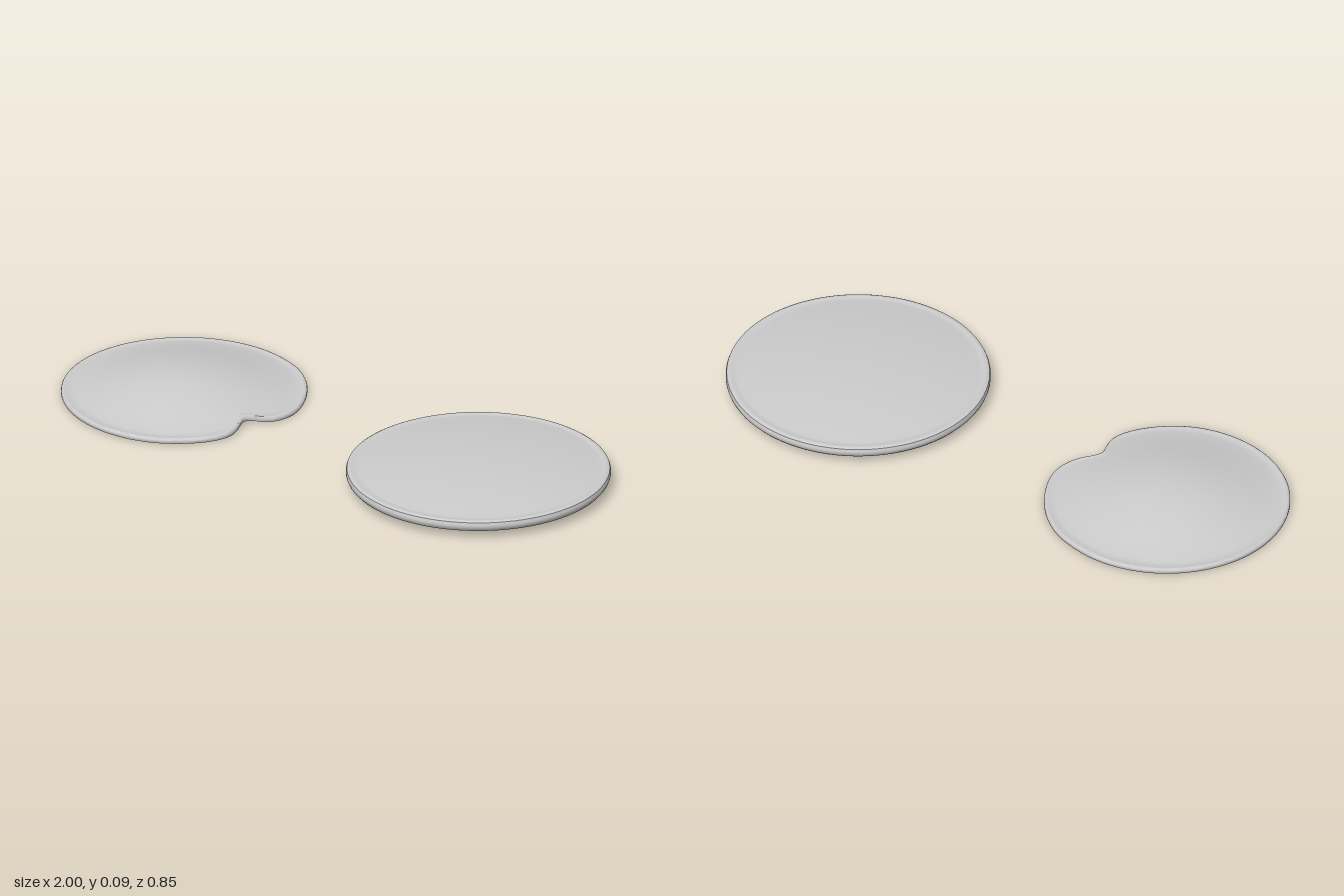
import * as THREE from 'three';
import { toCreasedNormals } from 'three/addons/utils/BufferGeometryUtils.js';

const material = () => new THREE.MeshStandardMaterial({ color: 0xcccccc });

// Round cap: gently domed thin top with a rounded rim, hollow underneath
function makeDisc() {
  const steps = 14;
  const dome = (r) => 0.088 - 0.027 * (r / 0.39) ** 2;
  const points = [];
  // Ceiling from the centre outwards
  for (let i = 0; i <= steps; i++) {
    const r = 0.39 * i / steps;
    points.push(new THREE.Vector2(r, dome(r) - 0.004));
  }
  // Inner wall, lower lip, outer wall and rim
  const rim = [[0.404, 0.055], [0.409, 0.045], [0.411, 0.027], [0.413, 0.025], [0.418, 0.027], [0.424, 0.034],
    [0.427, 0.042], [0.427, 0.05], [0.424, 0.058], [0.417, 0.062], [0.408, 0.062], [0.402, 0.06]];
  rim.forEach(([r, y]) => points.push(new THREE.Vector2(r, y)));
  // Domed top back to the centre
  for (let i = steps; i >= 0; i--) {
    const r = 0.39 * i / steps;
    points.push(new THREE.Vector2(r, dome(r)));
  }
  const mesh = new THREE.Mesh(toCreasedNormals(new THREE.LatheGeometry(points, 96), 0.6), material());
  mesh.name = 'domedDisc';
  mesh.position.x = 0.573;
  return mesh;
}

// Plan outline of the notched plate: a circle with a nick on one side
function notchedOutline(count) {
  const pts = [];
  for (let a = 80; a <= 290; a += 15) {
    const t = THREE.MathUtils.degToRad(a);
    pts.push([0.398 * Math.cos(t), 0.397 * Math.sin(t)]);
  }
  pts.push([0.21, -0.34], [0.29, -0.272], [0.35, -0.182], [0.38, -0.1], [0.383, -0.05], [0.37, 0],
    [0.348, 0.032], [0.315, 0.06], [0.3, 0.083], [0.306, 0.11], [0.316, 0.145], [0.318, 0.185],
    [0.301, 0.233], [0.25, 0.297], [0.16, 0.361]);
  const curve = new THREE.CatmullRomCurve3(pts.map(([x, z]) => new THREE.Vector3(x, 0, z)), true);
  return curve.getSpacedPoints(count).slice(0, count);
}

// Bell-shaped rise shared by the top and underside
const bell = (r) => 0.06 * Math.max(0, 1 - (r / 0.39) ** 2) ** 1.65;

// Thin shell with a turned-down lip, made from scaled copies of the outline
function makeNotchedPlate() {
  const n = 160, steps = 18;
  const outline = notchedOutline(n);
  const rings = [];
  for (let i = 0; i <= steps; i++) rings.push([0.002 + 0.955 * i / steps, 0.0145]);
  rings.push([0.968, 0.0165], [0.985, 0.017], [0.995, 0.015], [1, 0.011], [1, 0.003], [0.996, 0], [0.985, 0], [0.975, 0.009]);
  for (let i = steps; i >= 0; i--) rings.push([0.002 + 0.955 * i / steps, 0.0105]);

  const positions = [], index = [];
  rings.forEach(([s, y], k) => {
    outline.forEach((p, j) => {
      const x = p.x * s, z = p.z * s;
      positions.push(x, y + bell(Math.hypot(x, z)), z);
      if (k === rings.length - 1) return;
      const a = k * n + j, b = k * n + (j + 1) % n;
      index.push(a, b, a + n, b, b + n, a + n);
    });
  });
  // Close the tiny centre holes
  const top = positions.length / 3, last = (rings.length - 1) * n;
  positions.push(0, 0.0745, 0, 0, 0.0705, 0);
  for (let j = 0; j < n; j++) {
    const k = (j + 1) % n;
    index.push(top, k, j, top + 1, last + j, last + k);
  }
  const geometry = new THREE.BufferGeometry();
  geometry.setAttribute('position', new THREE.Float32BufferAttribute(positions, 3));
  geometry.setIndex(index);
  const mesh = new THREE.Mesh(toCreasedNormals(geometry, 0.7), material());
  mesh.name = 'notchedPlate';
  mesh.position.x = -0.602;
  return mesh;
}

export function createModel() {
  const group = new THREE.Group();
  group.name = 'discPair';
  group.add(makeDisc(), makeNotchedPlate());
  return group;
}
